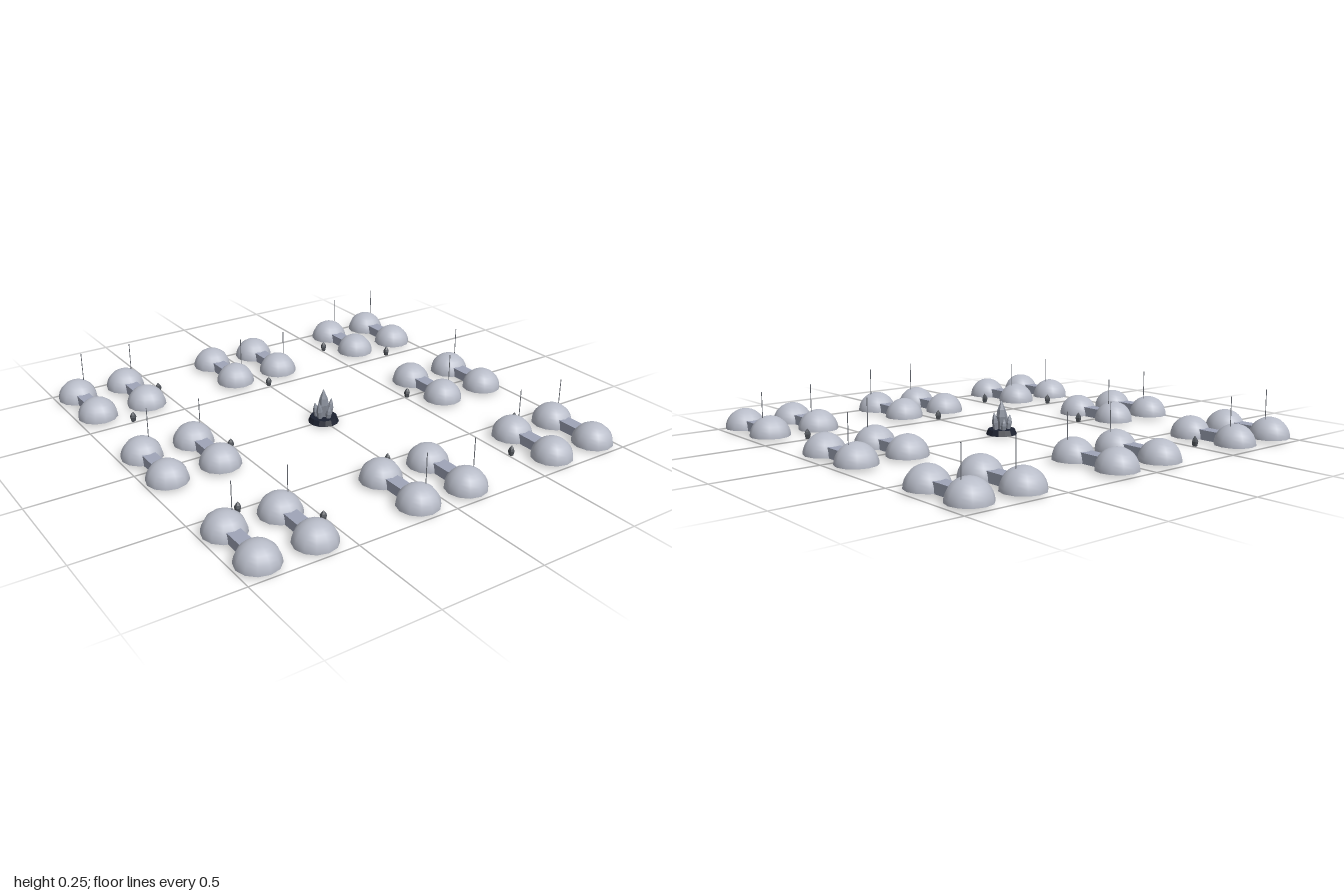
import * as THREE from 'three';

const mat = (color, extra = {}) => new THREE.MeshStandardMaterial({ color, ...extra });

export function createModel() {
  const root = new THREE.Group();
  const hull = mat(0xb8bcc8, { side: THREE.DoubleSide });
  const corridor = mat(0x9fa5b8);
  const mast = mat(0x70747c);
  const crystal = mat(0x8a909c, { flatShading: true });
  const rock = mat(0x1c2130, { flatShading: true });
  const shardMat = mat(0x50545a, { flatShading: true });

  const add = (parent, name, geometry, material, x, y, z) => {
    const mesh = new THREE.Mesh(geometry, material);
    mesh.name = name;
    mesh.position.set(x, y, z);
    parent.add(mesh);
    return mesh;
  };

  // Hexagonal crystal standing on its origin: narrow foot, wide waist, pointed tip
  const crystalGeometry = (r, h, sides = 6) => new THREE.LatheGeometry(
    [[0, 0], [r * 0.7, 0], [r, h * 0.45], [r * 0.75, h * 0.68], [0, h]]
      .map(([x, y]) => new THREE.Vector2(x, y)), sides);

  const R = 0.097, BASE = 0.013, HALF = 0.13;
  const domeGeometry = new THREE.SphereGeometry(R, 12, 8, 0, Math.PI * 2, 0, Math.PI / 2);
  const corridorGeometry = new THREE.BoxGeometry(0.064, 0.047, 0.13);

  // Two domes joined by a corridor, with a mast on one dome
  const habitat = (x, z, mastSide, mastTop) => {
    const g = new THREE.Group();
    g.name = 'habitat';
    g.position.set(x, 0, z);
    for (const s of [-1, 1]) add(g, 'dome', domeGeometry, hull, 0, BASE, s * HALF);
    add(g, 'corridor', corridorGeometry, corridor, 0, 0.0355, 0);
    const foot = 0.095;
    add(g, 'antenna', new THREE.CylinderGeometry(0.002, 0.002, mastTop - foot, 5), mast,
      0.037, (mastTop + foot) / 2, mastSide * HALF);
    root.add(g);
  };

  // Eight habitat pairs around an open square
  const P = 0.77;
  const sites = [
    [-P, -P, -1, -1], [0, -P, 1, 1], [P, -P, -1, -1],
    [-P, 0, -1, -1], [P, 0, 1, -1],
    [-P, P, -1, -1], [0, P, 1, 1], [P, P, -1, -1],
  ];
  sites.forEach(([x, z, left, right], i) => {
    habitat(x - HALF, z, left, 0.245 - (i % 3) * 0.006);
    habitat(x + HALF, z, right, 0.24 - (i % 2) * 0.014);
  });

  // Small shards on the inner edges of each site
  const shardGeometry = crystalGeometry(0.016, 0.05, 5);
  const shard = (x, z, i) => {
    const m = add(root, 'shard', shardGeometry, shardMat, x, 0, z);
    m.rotation.y = i * 1.3;
  };
  sites.forEach(([x, z], i) => {
    if (x) shard(Math.sign(x) * 0.515, z, i);
    if (z) shard(x, Math.sign(z) * 0.517, i + 4);
  });

  // Central crystal cluster on a dark round plinth
  const monument = new THREE.Group();
  monument.name = 'crystalCluster';
  add(monument, 'plinth', new THREE.CylinderGeometry(0.065, 0.075, 0.026, 14), rock, 0, 0.017, 0);
  add(monument, 'mainCrystal', crystalGeometry(0.026, 0.148), crystal, 0, 0.024, 0);
  const spikes = [[0.1, 0.095], [1.4, 0.07], [2.7, 0.1], [3.7, 0.08], [5.1, 0.065]];
  for (const [a, h] of spikes) {
    const m = add(monument, 'sideCrystal', crystalGeometry(0.015, h), crystal,
      Math.cos(a) * 0.032, 0.022, Math.sin(a) * 0.032);
    m.rotation.set(Math.sin(a) * 0.12, 0, -Math.cos(a) * 0.12);
  }
  root.add(monument);

  return root;
}
